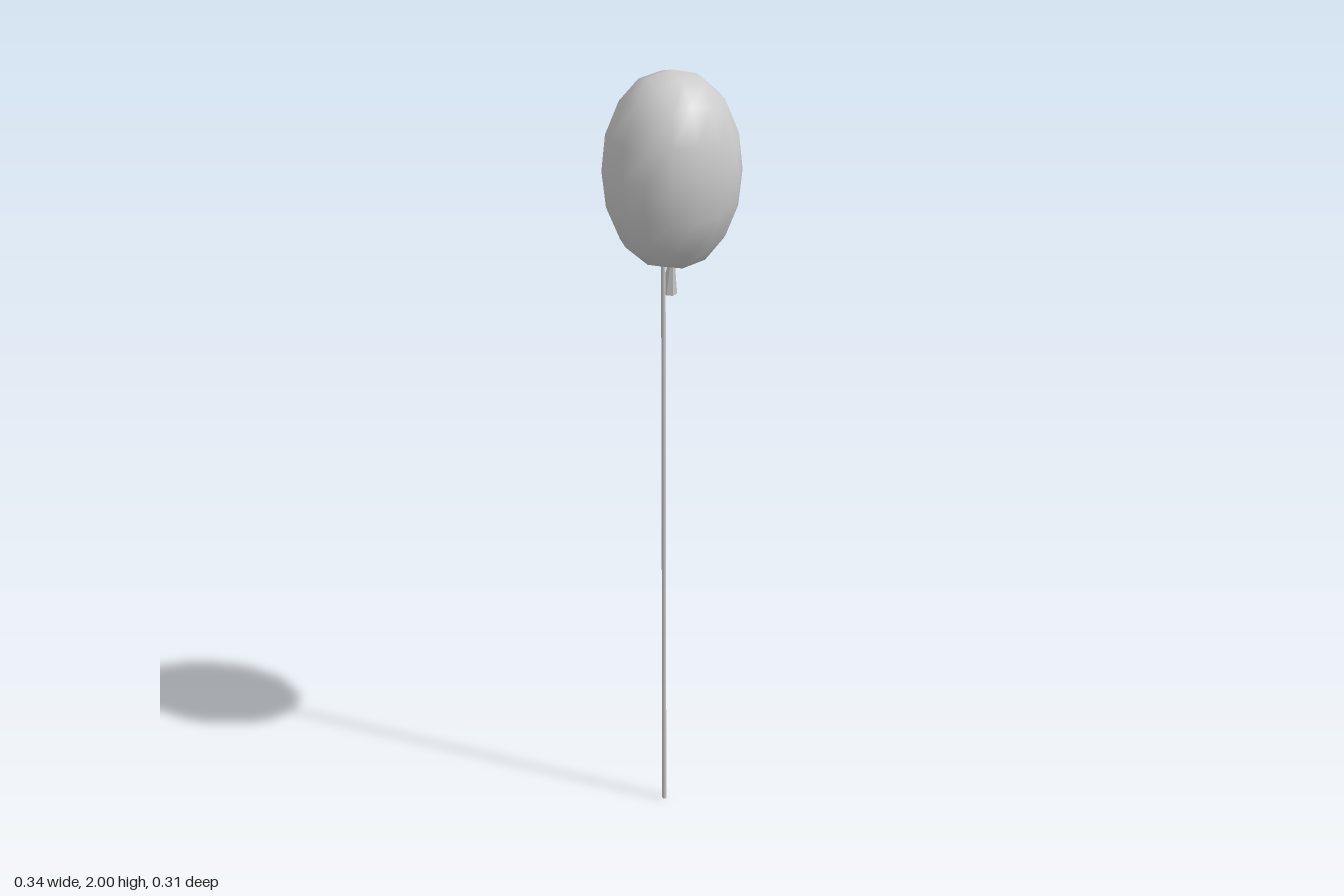
import * as THREE from 'three';
import { mergeVertices } from 'three/addons/utils/BufferGeometryUtils.js';

const grey = new THREE.MeshStandardMaterial({ color: 0xcccccc, side: THREE.DoubleSide });

function addPart(group, name, geometry) {
  const mesh = new THREE.Mesh(geometry, grey);
  mesh.name = name;
  group.add(mesh);
  return mesh;
}

// Rounded cube: an even 4 x 4 grid per side, blown up into an egg with soft diagonals
function balloonGeometry(rx, ry, rz) {
  let g = new THREE.BoxGeometry(2, 2, 2, 4, 4, 4);
  g.deleteAttribute('normal');
  g.deleteAttribute('uv');
  g = mergeVertices(g);
  const p = g.attributes.position;
  const v = new THREE.Vector3();
  const even = (t) => Math.tan(t * Math.PI / 4);
  for (let i = 0; i < p.count; i++) {
    v.fromBufferAttribute(p, i);
    v.set(even(v.x), even(v.y), even(v.z)).normalize();
    const a = v.x * v.x, b = v.y * v.y, c = v.z * v.z;
    const bulge = 1 + 0.03 * Math.min(1, 4 * (a * b + b * c + c * a));
    v.multiplyScalar(bulge);
    p.setXYZ(i, v.x * rx, v.y * ry, v.z * rz);
  }
  g.computeVertexNormals();
  return g;
}

export function createModel() {
  const model = new THREE.Group();
  model.name = 'balloonOnString';

  addPart(model, 'balloon', balloonGeometry(0.168, 0.243, 0.157)).position.y = 1.757;

  // Flared neck, leaning backwards
  const top = new THREE.Vector3(0, 1.525, -0.004);
  const bottom = new THREE.Vector3(0.002, 1.444, -0.02);
  const axis = top.clone().sub(bottom);
  const neck = addPart(model, 'neck',
    new THREE.CylinderGeometry(0.009, 0.02, axis.length(), 8));
  neck.position.copy(top).add(bottom).multiplyScalar(0.5);
  neck.quaternion.setFromUnitVectors(new THREE.Vector3(0, 1, 0), axis.normalize());
  neck.material = grey.clone();
  neck.material.flatShading = true;

  // Straight string tied beside the neck
  addPart(model, 'string', new THREE.CylinderGeometry(0.006, 0.006, 1.52, 8))
    .position.set(-0.017, 0.76, -0.014);

  return model;
}
